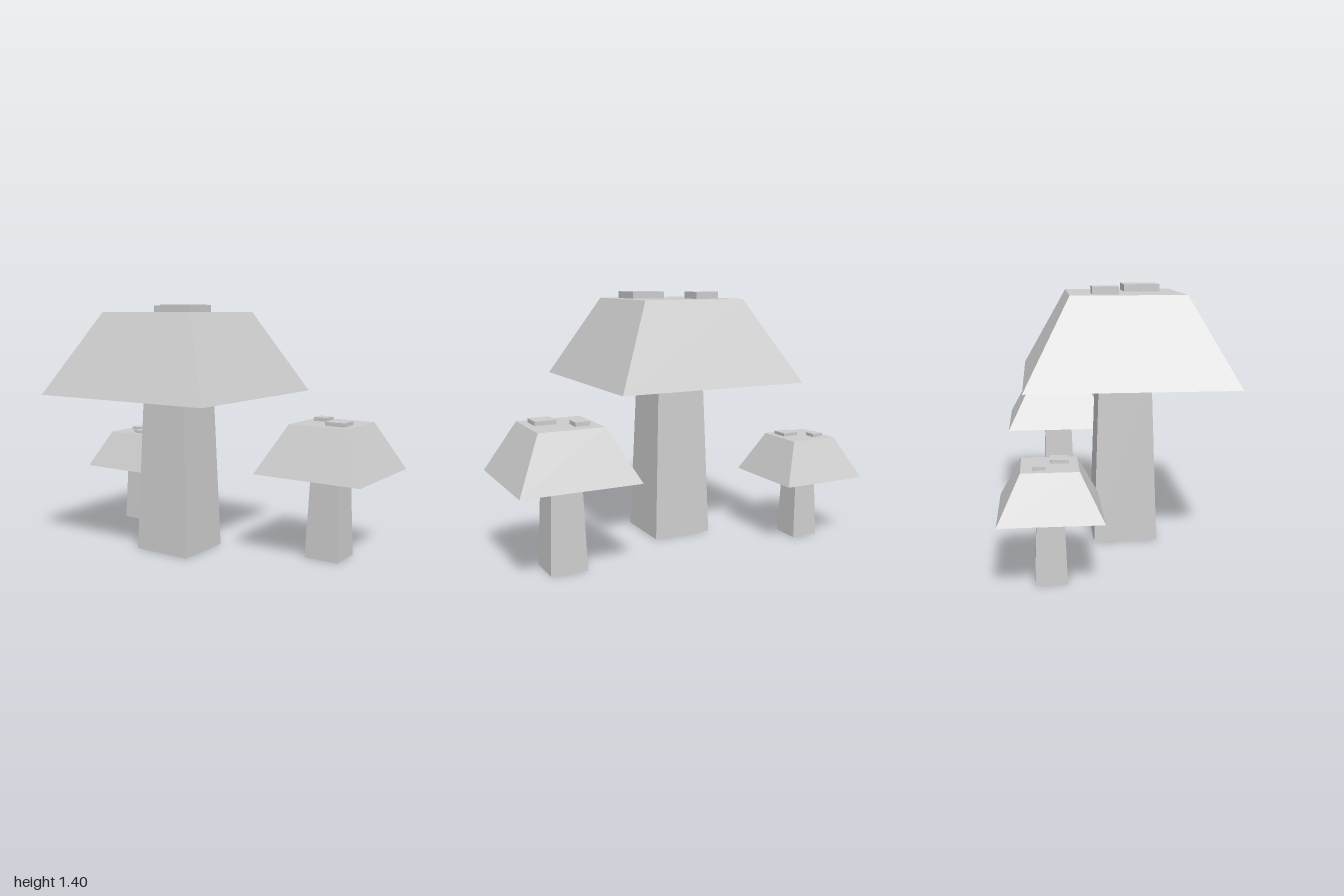
import * as THREE from 'three';

const grey = new THREE.MeshStandardMaterial({ color: 0xcccccc });
grey.name = 'light grey';

// Square frustum standing on y, with half-widths at bottom and top
function frustum(name, bottom, top, y, height) {
  const g = new THREE.CylinderGeometry(top * Math.SQRT2, bottom * Math.SQRT2, height, 4)
    .rotateY(Math.PI / 4)
    .translate(0, y + height / 2, 0)
    .toNonIndexed();
  g.computeVertexNormals(); // faceted sides
  const mesh = new THREE.Mesh(g, grey);
  mesh.name = name;
  return mesh;
}

// One mushroom: s scales widths; heights are given per mushroom
function mushroom(name, x, z, s, capY, topY, spotHeight) {
  const group = new THREE.Group();
  group.name = name;
  group.position.set(x, 0, z);
  group.add(frustum('stem', 0.174 * s, 0.143 * s, 0, capY));
  group.add(frustum('cap', 0.546 * s, 0.302 * s, capY, topY - capY));

  // Raised square spots on the flat top
  for (const [sx, sz, size] of [[-0.144, -0.112, 0.14], [0.128, 0.108, 0.198]]) {
    const spot = new THREE.Mesh(new THREE.BoxGeometry(size * s, spotHeight, size * s), grey);
    spot.name = 'spot';
    spot.position.set(sx * s, topY + spotHeight / 2, sz * s);
    group.add(spot);
  }
  return group;
}

export function createModel() {
  const model = new THREE.Group();
  model.name = 'mushroomCluster';
  model.add(mushroom('largeMushroom', -0.118, 0.062, 1, 0.91, 1.366, 0.039));
  model.add(mushroom('mediumMushroom', 0.684, -0.278, 0.577, 0.486, 0.759, 0.022));
  model.add(mushroom('smallMushroom', -0.75, -0.358, 0.459, 0.36, 0.583, 0.018));
  return model;
}
